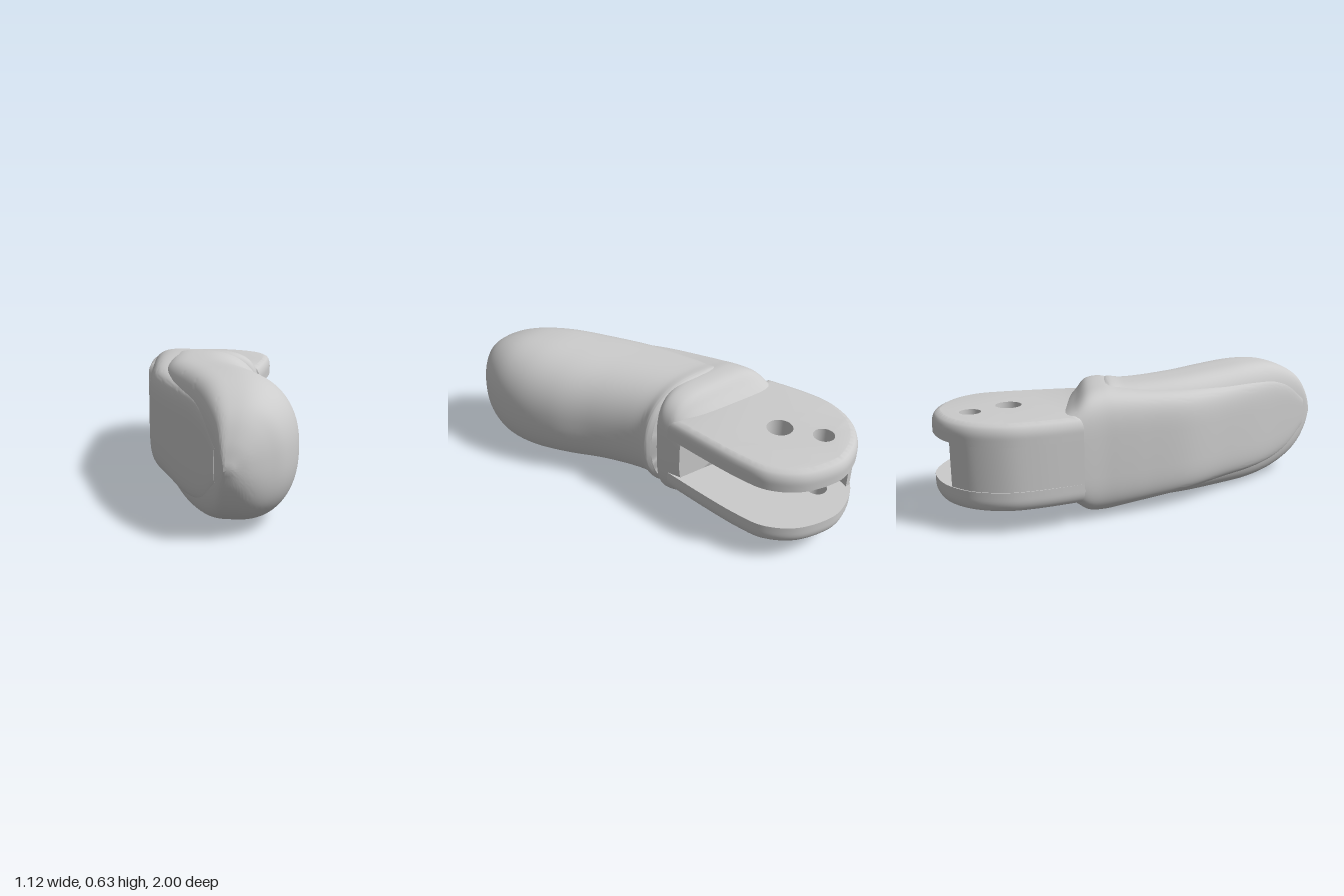
import * as THREE from 'three';
import { toCreasedNormals } from 'three/addons/utils/BufferGeometryUtils.js';

const MID = 0.32; // height of the symmetry plane
const HOLES = [[-0.195, -0.645, 0.062], [-0.305, -0.815, 0.05]];
const material = new THREE.MeshStandardMaterial({ color: 0xcccccc });

function addMesh(group, name, geometry, crease = 0.7) {
  const mesh = new THREE.Mesh(toCreasedNormals(geometry, crease), material);
  mesh.name = name;
  group.add(mesh);
}

// Smooth sweep of D-shaped sections; each station is [leftX, leftZ, rightX, rightZ, halfHeight]
function loft(stations, nLeft, nRight, u0, rings = 72, segs = 80) {
  const left = new THREE.CatmullRomCurve3(stations.map(s => new THREE.Vector3(s[0], s[4], s[1])));
  const right = new THREE.CatmullRomCurve3(stations.map(s => new THREE.Vector3(s[2], s[4], s[3])));
  const pos = [], idx = [];
  for (let i = 0; i <= rings; i++) {
    const L = left.getPoint(i / rings), R = right.getPoint(i / rings);
    for (let j = 0; j < segs; j++) {
      const a = (j / segs) * Math.PI * 2, c = Math.cos(a), s = Math.sin(a);
      const e = 2 / (c < 0 ? nLeft : nRight);
      const u = u0 + (c < 0 ? -u0 : 1 - u0) * Math.pow(Math.abs(c), e);
      const y = Math.sign(s) * Math.pow(Math.abs(s), e) * L.y;
      pos.push(L.x + (R.x - L.x) * u, MID + y, L.z + (R.z - L.z) * u);
    }
  }
  for (let i = 0; i < rings; i++) {
    for (let j = 0; j < segs; j++) {
      const k = (j + 1) % segs;
      const a = i * segs + j, b = i * segs + k;
      idx.push(a, b, b + segs, a, b + segs, a + segs);
    }
  }
  // end caps
  for (const [t, ring] of [[0, 0], [1, rings]]) {
    const m = left.getPoint(t).lerp(right.getPoint(t), 0.5);
    const centre = pos.length / 3;
    pos.push(m.x, MID, m.z);
    for (let j = 0; j < segs; j++) {
      const a = ring * segs + j, b = ring * segs + (j + 1) % segs;
      if (t === 0) idx.push(centre, b, a);
      else idx.push(centre, a, b);
    }
  }
  const g = new THREE.BufferGeometry();
  g.setAttribute('position', new THREE.Float32BufferAttribute(pos, 3));
  g.setIndex(idx);
  return g;
}

// Plan coordinates (x, z) to shape coordinates
const plan = pts => pts.map(([x, z]) => new THREE.Vector2(x, -z));

// Hinge plate with two pin holes; the outward-facing rim is rounded
function plateGeometry(side) {
  const pts = plan([
    [0.165, -0.27], [0.145, -0.5], [0.12, -0.7], [0.08, -0.84], [-0.03, -0.95], [-0.2, -1],
    [-0.33, -0.975], [-0.44, -0.91], [-0.525, -0.8], [-0.56, -0.65], [-0.54, -0.5], [-0.48, -0.3],
  ]);
  const shape = new THREE.Shape(new THREE.SplineCurve(pts).getPoints(90));
  for (const [x, z, r] of HOLES) {
    const hole = new THREE.Path();
    hole.absarc(x, -z, r, 0, Math.PI * 2, true);
    shape.holes.push(hole);
  }
  const g = new THREE.ExtrudeGeometry(shape, { depth: 0.1, steps: 10, bevelEnabled: false, curveSegments: 20 });
  g.rotateX(-Math.PI / 2);
  const p = g.attributes.position;
  for (let i = 0; i < p.count; i++) {
    const x = p.getX(i), z = p.getZ(i), y = p.getY(i);
    const t = side > 0 ? y / 0.1 : 1 - y / 0.1;
    const s = Math.min(1, Math.max(0, (t - 0.4) / 0.6));
    const inHole = HOLES.some(([hx, hz, r]) => Math.hypot(x - hx, z - hz) < r + 0.005);
    if (!inHole) {
      const k = 1 - 0.11 * (1 - Math.sqrt(1 - s * s));
      p.setX(i, -0.2 + (x + 0.2) * k);
      p.setZ(i, -0.64 + (z + 0.64) * k);
    }
  }
  g.translate(0, side > 0 ? 0.425 : 0.115, 0);
  return g;
}

// Wall joining the plates along one side and closing the slot
function wallGeometry() {
  const outer = new THREE.SplineCurve(plan([
    [-0.48, -0.3], [-0.536, -0.5], [-0.556, -0.65], [-0.52, -0.8], [-0.445, -0.9],
  ])).getPoints(24);
  const inner = new THREE.SplineCurve(plan([
    [-0.42, -0.9], [-0.45, -0.76], [-0.47, -0.62], [-0.43, -0.5], [-0.3, -0.42], [-0.1, -0.37], [0.14, -0.34],
  ])).getPoints(36);
  const shape = new THREE.Shape([...outer, ...inner, ...plan([[0.14, -0.29]])]);
  const g = new THREE.ExtrudeGeometry(shape, { depth: 0.23, bevelEnabled: false });
  g.rotateX(-Math.PI / 2);
  g.translate(0, MID - 0.115, 0);
  return g;
}

export function createModel() {
  const model = new THREE.Group();
  model.name = 'jointedFingertip';

  // Rigid body: flares up from the hinge, then runs under the pad as the flat panel
  addMesh(model, 'body', loft([
    [-0.50, -0.42, 0.15, -0.34, 0.19],
    [-0.475, -0.35, 0.155, -0.31, 0.235],
    [-0.45, -0.28, 0.165, -0.27, 0.287],
    [-0.42, -0.20, 0.17, -0.20, 0.298],
    [-0.395, -0.12, 0.10, -0.13, 0.287],
    [-0.355, 0, 0.05, -0.03, 0.272],
    [-0.27, 0.22, 0.10, 0.17, 0.255],
    [-0.13, 0.43, 0.18, 0.36, 0.245],
    [0, 0.61, 0.23, 0.55, 0.24],
    [0.12, 0.755, 0.29, 0.70, 0.222],
    [0.21, 0.865, 0.33, 0.82, 0.175],
    [0.28, 0.95, 0.33, 0.93, 0.08],
  ], 4.5, 4, 0.45));

  // Soft rounded pad wrapping the body, with a small lip where it starts
  addMesh(model, 'pad', loft([
    [-0.30, -0.20, 0.195, -0.185, 0.292],
    [-0.325, -0.17, 0.22, -0.16, 0.302],
    [-0.31, -0.10, 0.212, -0.11, 0.296],
    [-0.285, 0, 0.24, -0.02, 0.296],
    [-0.215, 0.21, 0.33, 0.15, 0.302],
    [-0.10, 0.425, 0.445, 0.32, 0.311],
    [0.015, 0.605, 0.53, 0.50, 0.316],
    [0.128, 0.752, 0.556, 0.65, 0.298],
    [0.212, 0.862, 0.535, 0.79, 0.25],
    [0.272, 0.935, 0.49, 0.87, 0.19],
    [0.31, 0.98, 0.43, 0.945, 0.1],
    [0.335, 1.0, 0.37, 0.99, 0.015],
  ], 4, 2.3, 0.42));

  // Hinge fork
  addMesh(model, 'upperHingePlate', plateGeometry(1));
  addMesh(model, 'lowerHingePlate', plateGeometry(-1));
  addMesh(model, 'hingeSideWall', wallGeometry());

  return model;
}
